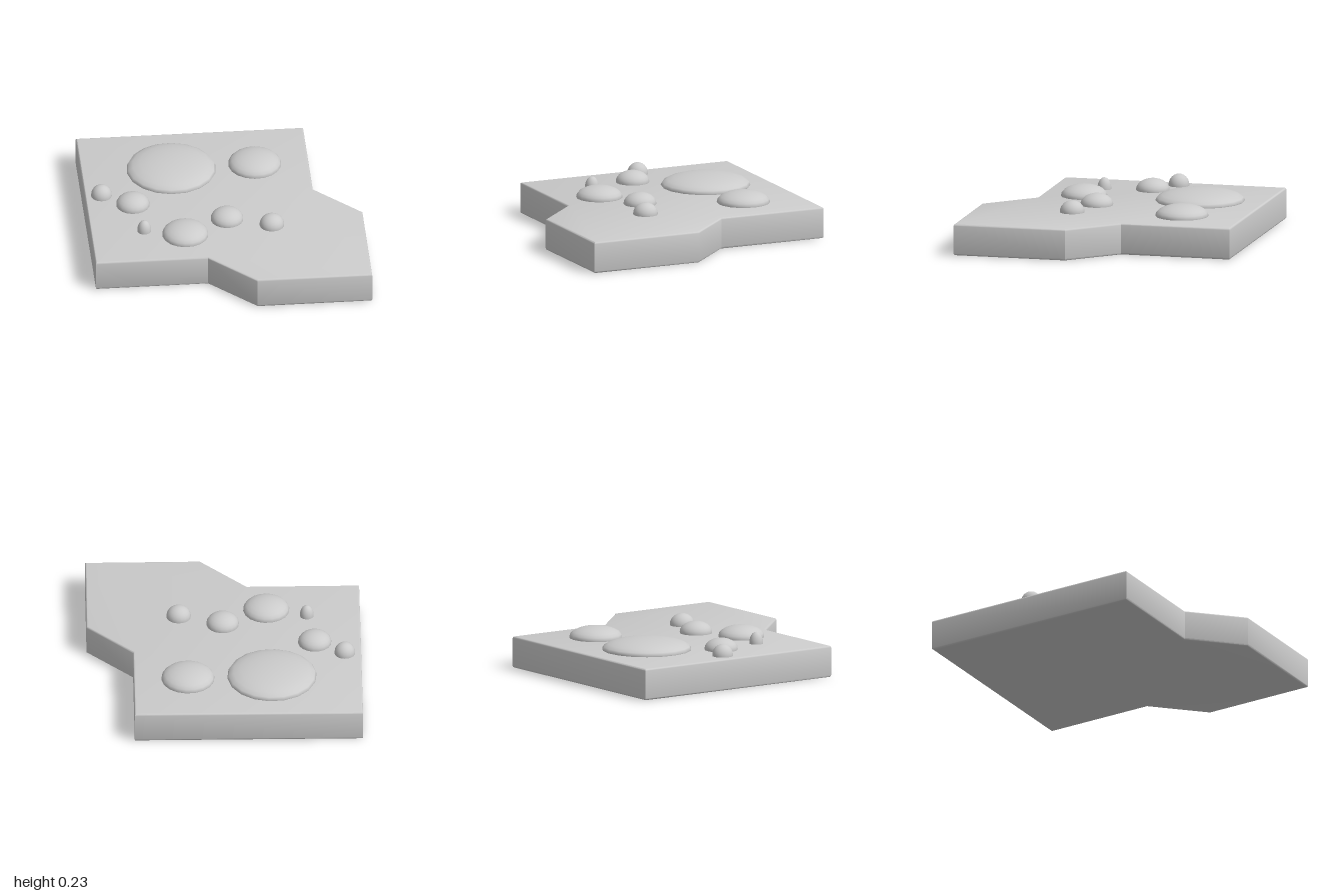
import * as THREE from 'three';
import { toCreasedNormals } from 'three/addons/utils/BufferGeometryUtils.js';

const TOP = 0.165;   // slab thickness
const BEVEL = 0.01;  // softened edges

export function createModel() {
  const group = new THREE.Group();
  const material = new THREE.MeshStandardMaterial({ color: 0xcccccc });

  // Slab: a square on its corner joined to a smaller pointed front; x, z of the left half
  const half = [[0.835, -0.165], [0.423, 0.245], [0.423, 0.58]];
  const outline = [
    [0, 1], ...[...half].reverse(), [0, -1],
    ...half.map(([x, z]) => [-x, z]),
  ].map(([x, z]) => new THREE.Vector2(x, -z));

  const slabGeometry = new THREE.ExtrudeGeometry(new THREE.Shape(outline), {
    depth: TOP - 2 * BEVEL,
    bevelThickness: BEVEL,
    bevelSize: BEVEL,
    bevelOffset: -BEVEL,
    bevelSegments: 3,
  });
  slabGeometry.rotateX(-Math.PI / 2).translate(0, BEVEL, 0);
  const slab = new THREE.Mesh(toCreasedNormals(slabGeometry, 0.6), material);
  slab.name = 'slab';
  group.add(slab);

  // Bubbles: flattened spheres half sunk into the top face; x, z, radius
  const bubbles = [
    [0.088, -0.43, 0.232], [0.405, -0.132, 0.138], [-0.333, -0.016, 0.12],
    [-0.292, 0.37 * -1, 0.087], [-0.083, 0.09, 0.085], [0.025, 0.302, 0.064],
    [-0.33, -0.55, 0.054], [-0.442, -0.168, 0.036],
  ];
  bubbles[2][1] = 0.018;
  const sphere = new THREE.SphereGeometry(1, 18, 12);
  bubbles.forEach(([x, z, r], i) => {
    const bubble = new THREE.Mesh(sphere, material);
    bubble.name = `bubble${i + 1}`;
    bubble.position.set(x, 0.17, z);
    bubble.scale.set(r, 0.057, r);
    group.add(bubble);
  });

  return group;
}
